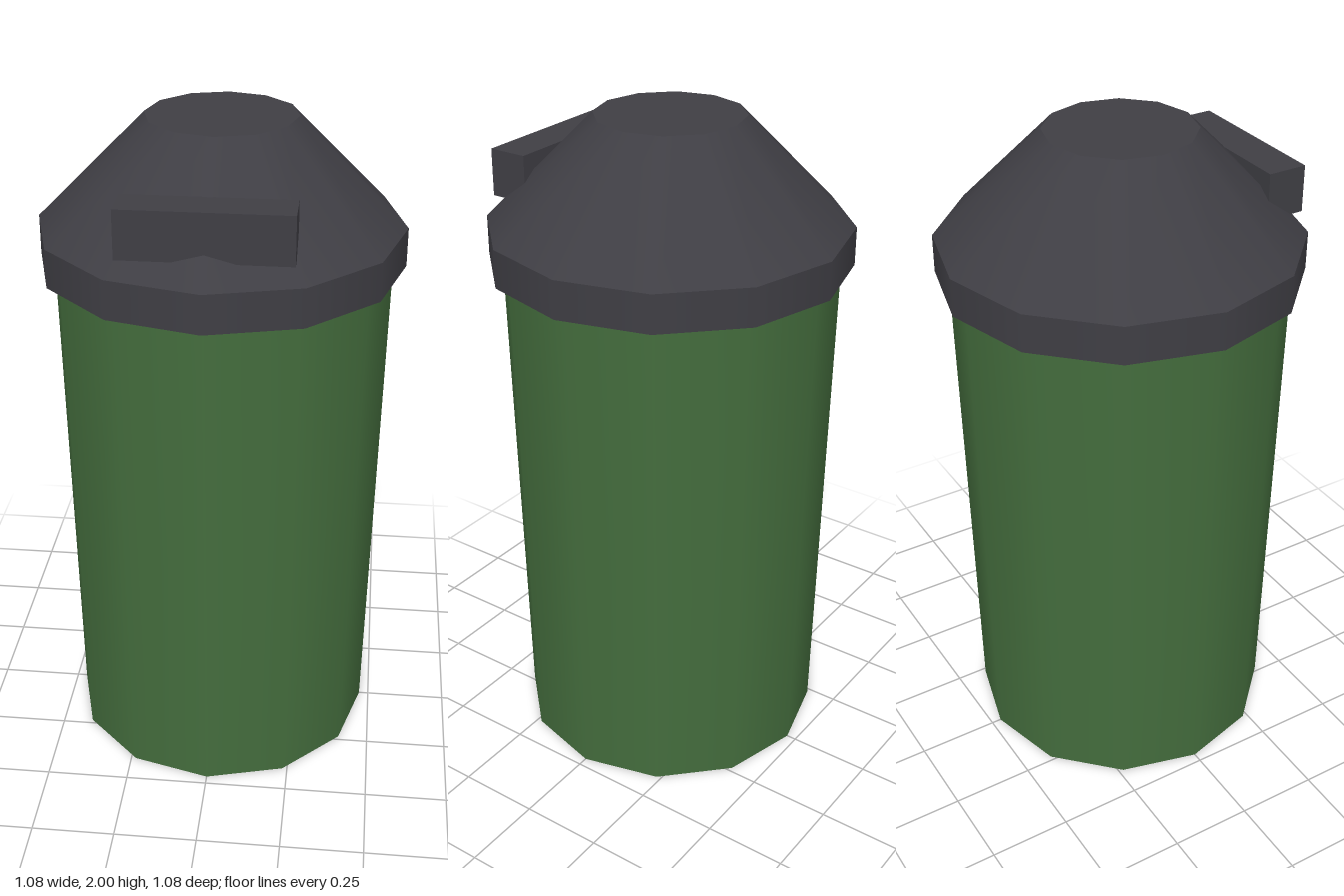
import * as THREE from 'three';

const SIDES = 12;

export function createModel() {
  const green = new THREE.MeshStandardMaterial({ color: 0x446d3d });
  green.name = 'bin green';
  const charcoal = new THREE.MeshStandardMaterial({ color: 0x3f3e44 });
  charcoal.name = 'lid charcoal';

  const bin = new THREE.Group();
  bin.name = 'litterBin';

  const add = (parent, name, geometry, material, y, z = 0) => {
    const mesh = new THREE.Mesh(geometry, material);
    mesh.name = name;
    mesh.position.set(0, y, z);
    parent.add(mesh);
  };
  // Twelve-sided tapered section between two heights
  const section = (parent, name, rTop, rBottom, y0, y1, material, open = false) =>
    add(parent, name, new THREE.CylinderGeometry(rTop, rBottom, y1 - y0, SIDES, 1, open), material, (y0 + y1) / 2);

  // Slightly flared body
  section(bin, 'body', 0.5, 0.47, 0, 1.57, green);

  // Lid: straight rim, sloping hood with a flat top, and the slot cover at the front
  const lid = new THREE.Group();
  lid.name = 'lid';
  section(lid, 'lidRim', 0.538, 0.538, 1.565, 1.68, charcoal);
  section(lid, 'lidHood', 0.22, 0.538, 1.68, 2, charcoal);
  add(lid, 'slotCover', new THREE.BoxGeometry(0.48, 0.14, 0.12), charcoal, 1.805, 0.4);
  bin.add(lid);

  return bin;
}
